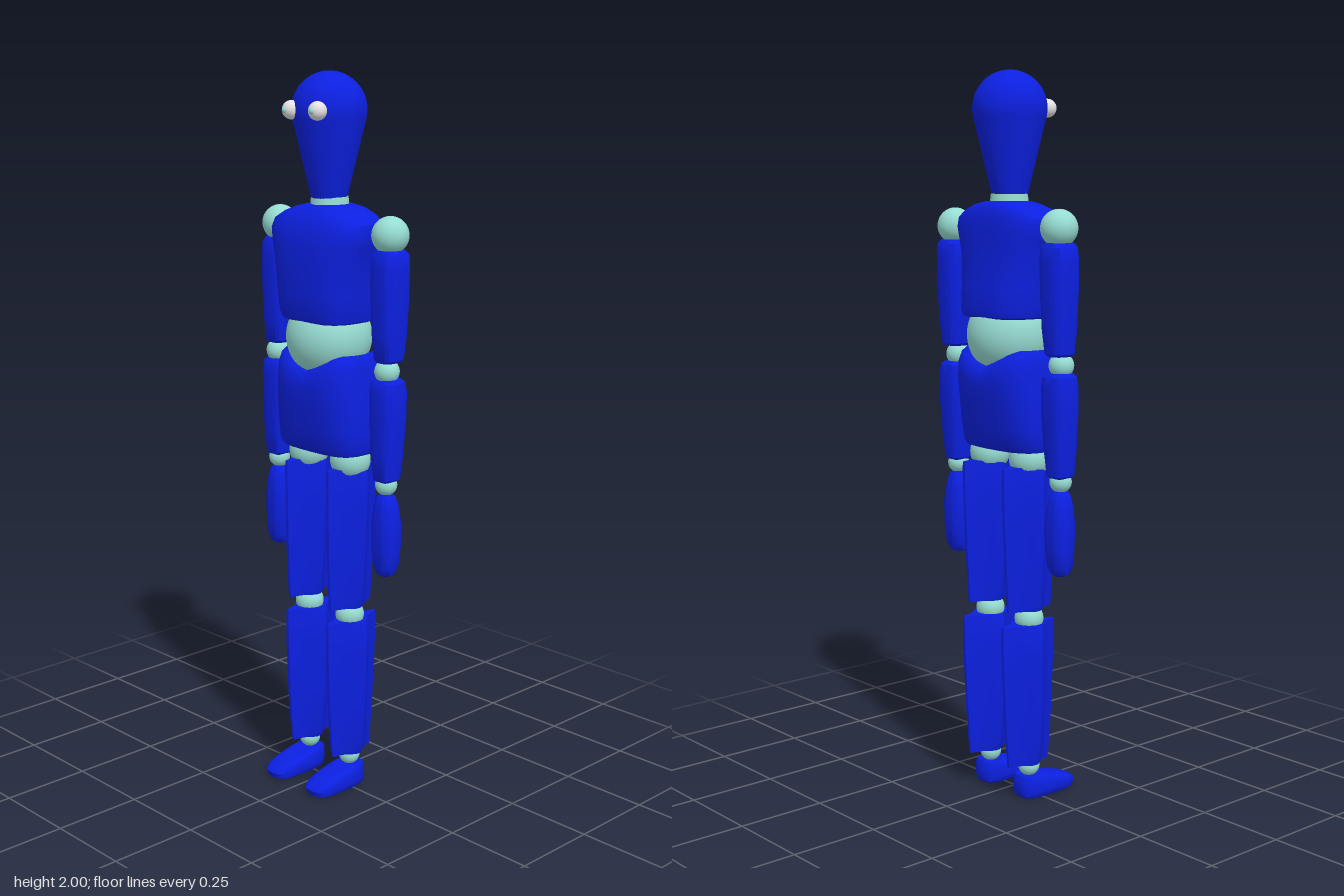
import * as THREE from 'three';
import { toCreasedNormals } from 'three/addons/utils/BufferGeometryUtils.js';

const mat = (name, color, extra = {}) =>
  Object.assign(new THREE.MeshStandardMaterial({ color, ...extra }), { name });

// Rounded cross-section; a higher power gives a boxier outline
function superellipse(power, n = 40) {
  const s = (v) => Math.sign(v) * Math.abs(v) ** (2 / power);
  return Array.from({ length: n }, (_, i) => {
    const t = (i / n) * Math.PI * 2;
    return [s(Math.cos(t)), s(Math.sin(t))];
  });
}

// Four-pointed cross-section with narrow front and back ridges
function star() {
  const q = [[1, 0.1], [0.78, 0.28], [0.42, 0.48], [0.25, 0.7], [0.09, 0.98]];
  const half = [...q, ...q.slice().reverse().map(([x, z]) => [-x, z])];
  return [...half, ...half.map(([x, z]) => [-x, -z])];
}

// Skin over rings [y, halfWidth, zFront, zBack], listed bottom to top.
// lift(x, y) can bend the ring heights.
function loft(section, rings, crease = 0.7, lift = () => 0) {
  const pos = [], idx = [], n = section.length;
  for (const [y, w, f, b] of rings) {
    for (const [sx, sz] of section) {
      const x = sx * w;
      pos.push(x, y + lift(x, y), (f + b) / 2 + (sz * (f - b)) / 2);
    }
  }
  for (let i = 0; i < rings.length - 1; i++) {
    for (let j = 0; j < n; j++) {
      const a = i * n + j, b = i * n + ((j + 1) % n);
      idx.push(a, a + n, b, b, a + n, b + n);
    }
  }
  // End caps
  for (const i of [0, rings.length - 1]) {
    const [y, , f, b] = rings[i], c = pos.length / 3;
    pos.push(0, y + lift(0, y), (f + b) / 2);
    for (let j = 0; j < n; j++) {
      const p = i * n + j, q = i * n + ((j + 1) % n);
      if (i === 0) idx.push(c, p, q); else idx.push(c, q, p);
    }
  }
  const g = new THREE.BufferGeometry();
  g.setAttribute('position', new THREE.Float32BufferAttribute(pos, 3));
  g.setIndex(idx);
  return toCreasedNormals(g, crease);
}

export function createModel() {
  const model = new THREE.Group();
  model.name = 'jointedMannequin';
  const blue = mat('blue', 0x0c20e0);
  const teal = mat('paleTeal', 0x96dcd2);
  const white = mat('white', 0xe4e2e2);

  const add = (parent, name, geo, material, x = 0, y = 0, z = 0) => {
    const m = new THREE.Mesh(geo, material);
    m.name = name;
    m.position.set(x, y, z);
    parent.add(m);
    return m;
  };
  const ball = (parent, name, r, material, x, y, z) =>
    add(parent, name, new THREE.SphereGeometry(r, 32, 20), material, x, y, z);

  // Head: round skull tapering straight to the neck
  const profile = [new THREE.Vector2(0, 1.668), new THREE.Vector2(0.048, 1.668)];
  for (let i = 0; i <= 18; i++) {
    const t = -0.22 + (i / 18) * (Math.PI / 2 + 0.22);
    profile.push(new THREE.Vector2(Math.max(0, Math.cos(t) * 0.101), 1.899 + Math.sin(t) * 0.101));
  }
  add(model, 'head', toCreasedNormals(new THREE.LatheGeometry(profile, 40), 0.7), blue, 0, 0, -0.018);
  add(model, 'neck', new THREE.CylinderGeometry(0.05, 0.056, 0.05, 32), teal, 0, 1.648, -0.02);

  // Torso
  add(model, 'chest', loft(superellipse(2.9), [
    [1.342, 0.112, 0.075, -0.115], [1.347, 0.124, 0.087, -0.126], [1.365, 0.129, 0.094, -0.13],
    [1.42, 0.136, 0.096, -0.122], [1.5, 0.146, 0.096, -0.113], [1.55, 0.161, 0.092, -0.111],
    [1.585, 0.172, 0.086, -0.109], [1.61, 0.166, 0.076, -0.106], [1.63, 0.135, 0.062, -0.102],
    [1.645, 0.095, 0.045, -0.094], [1.654, 0.055, 0.03, -0.075],
  ]), blue);
  ball(model, 'waist', 0.118, teal, 0, 1.295, -0.018);

  // Pelvis, its top edge dipping to a V in the middle
  const dip = (x, y) => -0.045 * Math.max(0, 1 - Math.abs(x) / 0.11) * Math.max(0, (y - 1.1) / 0.16);
  add(model, 'pelvis', loft(superellipse(3), [
    [0.98, 0.125, 0.05, -0.075], [0.985, 0.142, 0.062, -0.09], [1.0, 0.149, 0.07, -0.1],
    [1.05, 0.15, 0.078, -0.11], [1.12, 0.148, 0.087, -0.122], [1.18, 0.144, 0.091, -0.131],
    [1.22, 0.141, 0.088, -0.13], [1.245, 0.138, 0.076, -0.118], [1.26, 0.128, 0.058, -0.1],
  ], 0.7, dip), blue);

  // Limb shapes shared by both sides
  const limb = superellipse(3), starSection = star();
  const upperArm = loft(limb, [
    [1.25, 0.026, 0.0, -0.06], [1.257, 0.034, 0.005, -0.068], [1.32, 0.04, 0.01, -0.075],
    [1.42, 0.044, 0.013, -0.08], [1.5, 0.045, 0.013, -0.081], [1.535, 0.043, 0.01, -0.08],
    [1.547, 0.033, 0.002, -0.07],
  ]);
  const forearm = loft(limb, [
    [0.925, 0.024, 0.0, -0.052], [0.932, 0.032, 0.006, -0.06], [1.0, 0.039, 0.011, -0.067],
    [1.1, 0.045, 0.013, -0.073], [1.17, 0.045, 0.013, -0.074], [1.197, 0.041, 0.009, -0.07],
    [1.206, 0.03, 0.0, -0.06],
  ]);
  const hand = loft(superellipse(2.3, 32), [
    [0.658, 0.014, -0.012, -0.04], [0.664, 0.025, -0.003, -0.05], [0.685, 0.033, 0.006, -0.06],
    [0.74, 0.038, 0.01, -0.066], [0.8, 0.039, 0.011, -0.067], [0.85, 0.033, 0.007, -0.061],
    [0.88, 0.025, 0.0, -0.052], [0.892, 0.015, -0.01, -0.042],
  ]);
  const thigh = loft(starSection, [
    [0.54, 0.037, 0.057, -0.098], [0.56, 0.042, 0.06, -0.1], [0.68, 0.049, 0.066, -0.108],
    [0.82, 0.054, 0.069, -0.115], [0.92, 0.054, 0.07, -0.118], [0.942, 0.048, 0.069, -0.117],
  ], 0.5);
  const calf = loft(starSection, [
    [0.1, 0.034, 0.048, -0.098], [0.12, 0.041, 0.052, -0.1], [0.25, 0.05, 0.062, -0.11],
    [0.4, 0.054, 0.068, -0.118], [0.48, 0.054, 0.069, -0.12], [0.502, 0.047, 0.068, -0.119],
  ], 0.5);
  const foot = loft(superellipse(3.2), [
    [0.004, 0.037, 0.118, -0.05], [0.009, 0.043, 0.128, -0.056], [0.025, 0.046, 0.133, -0.059],
    [0.038, 0.045, 0.122, -0.059], [0.05, 0.043, 0.085, -0.058], [0.06, 0.04, 0.04, -0.057],
    [0.067, 0.034, 0.01, -0.053],
  ]);

  for (const [side, s] of [['left', 1], ['right', -1]]) {
    // Eye with a small pupil
    const eye = new THREE.Group();
    eye.name = side + 'Eye';
    ball(eye, 'eyeball', 0.025, white, s * 0.05, 1.9, 0.072);
    ball(eye, 'pupil', 0.009, teal, s * 0.052, 1.9, 0.092);

    // Arm
    const arm = new THREE.Group(), ax = s * 0.214;
    arm.name = side + 'Arm';
    ball(arm, 'shoulderJoint', 0.05, teal, s * 0.213, 1.585, -0.034);
    add(arm, 'upperArm', upperArm, blue, ax);
    ball(arm, 'elbowJoint', 0.034, teal, ax, 1.226, -0.025);
    add(arm, 'forearm', forearm, blue, ax);
    ball(arm, 'wristJoint', 0.03, teal, ax, 0.915, -0.026);
    add(arm, 'hand', hand, blue, ax);

    // Leg
    const leg = new THREE.Group(), lx = s * 0.082;
    leg.name = side + 'Leg';
    ball(leg, 'hipJoint', 0.056, teal, lx, 0.962, -0.02);
    add(leg, 'thigh', thigh, blue, lx);
    ball(leg, 'kneeJoint', 0.04, teal, lx, 0.515, -0.02);
    add(leg, 'calf', calf, blue, lx);
    ball(leg, 'ankleJoint', 0.03, teal, lx, 0.092, -0.02);
    add(leg, 'foot', foot, blue, lx);
    model.add(eye, arm, leg);
  }
  return model;
}
